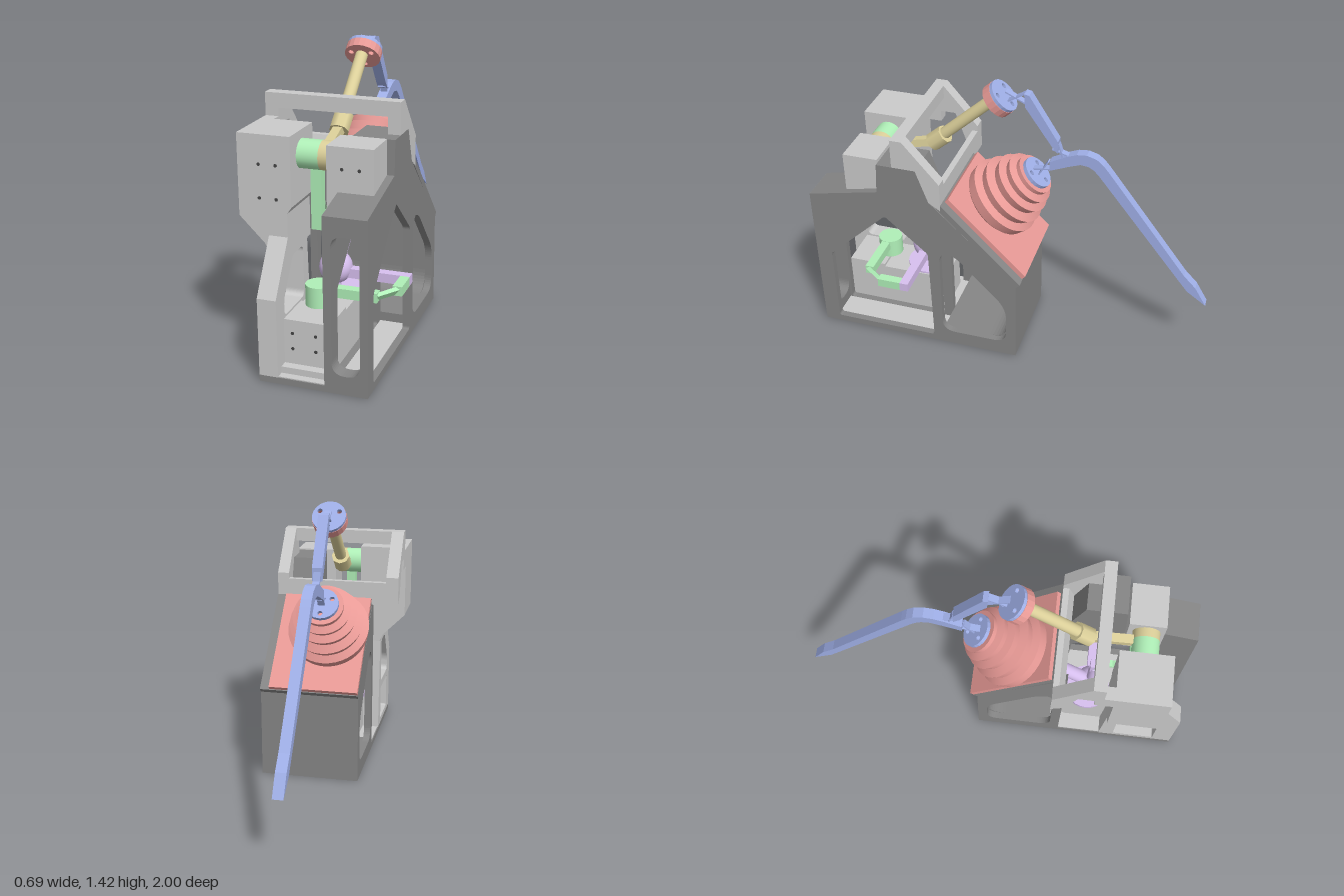
import * as THREE from 'three';

const V = (x, y, z) => new THREE.Vector3(x, y, z);
const mats = {};
for (const [k, c] of Object.entries({ grey: 0xcccccc, dark: 0x868686, hole: 0x444444, red: 0xe89a96, blue: 0xa0b0e8,
  green: 0xb0f0b8, purple: 0xd8c0f0, sand: 0xdcd09a }))
  mats[k] = new THREE.MeshStandardMaterial({ color: c, side: THREE.DoubleSide });
const CX = -0.025; // plane of the moving arms

// Polygon, optionally with rounded corners
function trace(path, pts, r = 0) {
  const P = pts.map(p => new THREE.Vector2(...p)), n = P.length;
  P.forEach((p, i) => {
    const toward = q => p.clone().add(q.clone().sub(p).setLength(r || 1e-9));
    const a = r ? toward(P[(i + n - 1) % n]) : p, b = r ? toward(P[(i + 1) % n]) : p;
    if (i) path.lineTo(a.x, a.y); else path.moveTo(a.x, a.y);
    if (r) path.quadraticCurveTo(p.x, p.y, b.x, b.y);
  });
  path.closePath();
  return path;
}
const extrude = (shape, depth) => new THREE.ExtrudeGeometry(shape, { depth, bevelEnabled: false, curveSegments: 10 });

export function createModel() {
  const model = new THREE.Group();
  const add = (name, geo, mat, parent = model) => {
    const m = new THREE.Mesh(geo, mats[mat]);
    m.name = name;
    parent.add(m);
    return m;
  };
  // Box from its limits
  const box = (name, mat, x0, x1, y0, y1, z0, z1) =>
    add(name, new THREE.BoxGeometry(x1 - x0, y1 - y0, z1 - z0), mat).position.set((x0 + x1) / 2, (y0 + y1) / 2, (z0 + z1) / 2);
  // Side profile of (z, y) points extruded from x0 to x1
  const side = (name, mat, x0, x1, pts, holes = []) => {
    const s = trace(new THREE.Shape(), pts);
    for (const [h, r] of holes) s.holes.push(trace(new THREE.Path(), h, r));
    return add(name, extrude(s, x1 - x0).rotateY(-Math.PI / 2).translate(x1, 0, 0), mat);
  };
  const between = (m, p, q) => {
    m.position.copy(p).lerp(q, 0.5);
    m.quaternion.setFromUnitVectors(V(0, 1, 0), q.clone().sub(p).normalize());
    return m;
  };
  const rod = (name, mat, p, q, r, n = 28) =>
    between(add(name, new THREE.CylinderGeometry(r, r, p.distanceTo(q), n), mat), p, q);
  const bar = (name, mat, p, q, w, t) =>
    between(add(name, new THREE.BoxGeometry(w, p.distanceTo(q), t), mat), p, q);
  // Crossed thin strips forming a flexible hinge in the side plane
  const hinge = (name, mat, p, q, w) => {
    const d = q.clone().sub(p).normalize(), o = V(0, d.z, -d.y).multiplyScalar(w);
    for (const s of [1, -1])
      bar(name, mat, p.clone().addScaledVector(o, s), q.clone().addScaledVector(o, -s), 0.035, 0.007);
  };
  // Round plate with three bolt holes, axis along y
  const flange = (name, mat, r, y0, h, parent) => {
    const s = new THREE.Shape().absarc(0, 0, r, 0, Math.PI * 2);
    for (const a of [90, 210, 330]) {
      const t = a * Math.PI / 180;
      s.holes.push(new THREE.Path().absarc(Math.cos(t) * r * 0.66, Math.sin(t) * r * 0.66, r * 0.15, 0, Math.PI * 2));
    }
    add(name, extrude(s, h).rotateX(-Math.PI / 2).translate(0, y0, 0), mat, parent);
  };

  // Housing: floor, side plates with openings, rounded rear trough
  box('floor', 'dark', -0.21, 0.30, 0, 0.03, -0.08, 1.0);
  box('floorTop', 'grey', -0.205, 0.295, 0.03, 0.034, -0.03, 0.995);
  const rearHole = [[[0.32, 0.08], [-0.03, 0.08], [-0.03, 0.31], [0.25, 0.60], [0.32, 0.60]], 0.07];
  const frontHole = [[[0.92, 0.035], [0.37, 0.035], [0.38, 0.57], [0.60, 0.76], [0.92, 0.46]], 0.015];
  side('rightSidePlate', 'dark', 0.265, 0.30, [[1, 0.03], [1, 0.82], [0.63, 0.90], [0.62, 1.06], [0.42, 1.06], [0.36, 0.89],
    [-0.08, 0.47], [-0.08, 0.03]], [rearHole, frontHole]);
  side('rightInnerPlate', 'dark', 0.10, 0.135, [[1, 0.03], [1, 0.82], [0.63, 0.90], [0.32, 0.84], [0.32, 0.03]], [frontHole]);
  side('rightRoof', 'dark', 0.10, 0.265, [[1, 0.74], [1, 0.82], [0.63, 0.90], [0.62, 1.06], [0.42, 1.06], [0.36, 0.89], [0.36, 0.80],
    [0.60, 0.78], [0.92, 0.74]]);
  // Slotted front strip
  const strip = trace(new THREE.Shape(), [[0.10, 0.03], [0.30, 0.03], [0.30, 0.82], [0.10, 0.82]]);
  strip.holes.push(trace(new THREE.Path(), [[0.135, 0.09], [0.265, 0.09], [0.265, 0.735], [0.135, 0.735]], 0.06));
  add('slottedFrontStrip', extrude(strip, 0.07).translate(0, 0, 0.931), 'dark');
  side('leftRearPlate', 'dark', -0.21, -0.175, [[0.37, 0.03], [0.37, 0.89], [-0.08, 0.47], [-0.08, 0.03]], [rearHole]);
  const trough = new THREE.Shape().moveTo(-0.08, 0.03).lineTo(0.32, 0.03).lineTo(0.32, 0.08).lineTo(0.07, 0.08);
  trough.quadraticCurveTo(-0.03, 0.08, -0.03, 0.18).lineTo(-0.03, 0.50).lineTo(-0.08, 0.47);
  add('rearTrough', extrude(trough, 0.44).rotateY(-Math.PI / 2).translate(0.265, 0, 0), 'dark');

  // Left front wall and the flared motor housing above it
  side('leftFrontWall', 'grey', -0.21, -0.12, [[0.60, 0.03], [1, 0.03], [1, 0.40], [0.85, 0.64], [0.85, 0.70], [0.59, 0.70], [0.63, 0.55]],
    [[[[0.91, 0.29], [0.91, 0.37], [0.80, 0.54], [0.68, 0.54], [0.68, 0.29]], 0.03],
      [[[0.90, 0.06], [0.90, 0.25], [0.68, 0.25], [0.68, 0.06]], 0.01]]);
  const flare = trace(new THREE.Shape(), [[-0.21, 0.56], [-0.12, 0.56], [-0.12, 0.75], [-0.10, 0.78], [-0.10, 1.10],
    [-0.35, 1.10], [-0.35, 0.72], [-0.23, 0.60]]);
  add('leftMotorHousing', extrude(flare, 0.26).translate(0, 0, 0.59), 'grey');
  box('rightMotorHousing', 'grey', 0.05, 0.265, 0.77, 1.065, 0.63, 0.81);
  box('frontLowerMotor', 'grey', -0.12, 0.10, 0.065, 0.28, 0.72, 0.92);
  side('lowerMotorBlock', 'grey', -0.12, 0.10, [[0.96, 0.03], [0.96, 0.065], [0.74, 0.07], [0.72, 0.265], [0.37, 0.265], [0.37, 0.06], [0.40, 0.03]]);

  // Handle frame
  const arm = [[0.54, 1.06], [0.54, 1.21], [0.48, 1.21], [0.30, 1.0], [0.30, 0.85], [0.36, 0.89], [0.42, 1.06]];
  side('handleArmRight', 'grey', 0.24, 0.30, arm);
  side('handleArmLeft', 'grey', -0.35, -0.285, arm);
  box('handleArmBrace', 'grey', -0.35, -0.285, 1.0, 1.10, 0.50, 0.60);
  box('handleBar', 'grey', -0.35, 0.30, 1.14, 1.21, 0.48, 0.54);
  side('rearCrossBar', 'grey', -0.35, 0.30, [[0.30, 0.85], [0.30, 0.97], [0.33, 0.97], [0.36, 0.89]]);

  // Screw recesses on the front faces
  for (const [x, y, z] of [[-0.25, 0.965, 0.85], [-0.17, 0.965, 0.85], [-0.25, 0.81, 0.85], [-0.17, 0.81, 0.85], [0.12, 0.965, 0.81],
    [0.20, 0.965, 0.81], [-0.08, 0.215, 0.92], [0.03, 0.215, 0.92], [-0.08, 0.14, 0.92], [0.03, 0.14, 0.92]])
    rod('screwRecess', 'hole', V(x, y, z - 0.01), V(x, y, z + 0.001), 0.008, 12);

  // Ball joint, post, main shaft and side lever
  rod('jointBase', 'purple', V(CX, 0.255, 0.50), V(CX, 0.275, 0.50), 0.12);
  rod('jointNeck', 'purple', V(CX, 0.27, 0.51), V(CX, 0.34, 0.51), 0.025);
  add('ballJoint', new THREE.SphereGeometry(0.08, 32, 20), 'purple').position.set(CX, 0.38, 0.51);
  rod('jointPost', 'purple', V(CX, 0.44, 0.51), V(CX, 0.62, 0.51), 0.027);
  bar('postTop', 'purple', V(CX, 0.59, 0.51), V(CX, 0.66, 0.51), 0.045, 0.045);
  rod('mainShaft', 'purple', V(CX, 0.38, 0.51), V(CX, 0.93, -0.08), 0.036);
  box('sideLever', 'purple', 0.03, 0.345, 0.337, 0.383, 0.485, 0.53);

  // Lower drive: motor horn, crank and link
  rod('lowerHorn', 'green', V(CX, 0.285, 0.73), V(CX, 0.385, 0.73), 0.063);
  box('lowerCrank', 'green', 0.02, 0.26, 0.337, 0.383, 0.71, 0.755);
  bar('lowerLink', 'green', V(0.25, 0.36, 0.74), V(0.32, 0.36, 0.64), 0.02, 0.035);
  box('linkEnd', 'green', 0.30, 0.345, 0.337, 0.383, 0.53, 0.65);

  // Upper drive: horn, hanging crank and link to the post
  rod('upperHorn', 'green', V(-0.10, 0.993, 0.72), V(0.0, 0.993, 0.72), 0.067);
  box('upperCrank', 'green', -0.05, 0.0, 0.65, 0.95, 0.70, 0.745);
  bar('upperLink', 'green', V(CX, 0.685, 0.71), V(CX, 0.685, 0.63), 0.045, 0.025);
  hinge('upperLinkHinge', 'green', V(CX, 0.685, 0.64), V(CX, 0.685, 0.55), 0.015);
  box('postClevis', 'green', -0.05, 0.0, 0.62, 0.70, 0.51, 0.56);

  // Upper push rod
  rod('rodHorn', 'sand', V(0, 0.993, 0.72), V(0.045, 0.993, 0.72), 0.067);
  bar('rodLink', 'sand', V(0.0, 0.99, 0.71), V(CX, 1.04, 0.44), 0.045, 0.04);
  rod('rodCollar', 'sand', V(CX, 1.03, 0.45), V(CX, 1.09, 0.38), 0.048, 8);
  rod('pushRod', 'sand', V(CX, 1.07, 0.41), V(CX, 1.33, 0.12), 0.03);
  const head = new THREE.Group();
  head.name = 'pushRodHead';
  head.position.set(CX, 1.315, 0.115);
  head.rotation.x = -0.835;
  model.add(head);
  flange('headFlange', 'red', 0.088, 0, 0.045, head);
  flange('headCap', 'blue', 0.086, 0.045, 0.018, head);

  // Sloped cover and bellows; local y points out of the slope
  const slope = new THREE.Group();
  slope.name = 'slopedCover';
  slope.position.set(CX, 0.73, 0.12);
  slope.rotation.x = -Math.PI / 4;
  model.add(slope);
  const cover = (name, mat, x0, x1, a, b, y, h) => {
    const s = trace(new THREE.Shape(), [[x0, a], [x1, a], [x1, b], [x0, b]]);
    s.holes.push(new THREE.Path().absarc(0, 0, 0.175, 0, Math.PI * 2));
    add(name, extrude(s, h).rotateX(-Math.PI / 2).translate(0, y, 0), mat, slope);
  };
  cover('coverFrame', 'dark', -0.185, 0.325, -0.24, 0.335, -0.05, 0.03);
  cover('coverPlate', 'red', -0.185, 0.275, -0.225, 0.33, -0.02, 0.025);
  const folds = [[0.18, 0], [0.20, 0.02], [0.21, 0.075], [0.175, 0.095], [0.19, 0.14], [0.15, 0.16], [0.165, 0.205],
    [0.128, 0.22], [0.14, 0.255], [0.105, 0.27], [0.108, 0.295], [0, 0.295]];
  // separate bands keep the folds sharp
  for (let i = 0; i + 1 < folds.length; i++)
    add('bellowsFold', new THREE.LatheGeometry([folds[i], folds[i + 1]].map(p => new THREE.Vector2(...p)), 40), 'red', slope);
  flange('bellowsCap', 'blue', 0.085, 0.296, 0.02, slope);

  // Linked blue arms
  const flat = (name, pts) => side(name, 'blue', CX - 0.026, CX + 0.026, pts);
  hinge('headHinge', 'blue', V(CX, 1.355, 0.06), V(CX, 1.36, -0.04), 0.027);
  flat('connectingArm', [[-0.035, 1.39], [-0.06, 1.385], [-0.205, 1.155], [-0.205, 1.09], [-0.175, 1.125], [-0.04, 1.32]]);
  hinge('armHinge', 'blue', V(CX, 1.12, -0.19), V(CX, 1.06, -0.25), 0.022);
  hinge('bellowsHinge', 'blue', V(CX, 0.955, -0.09), V(CX, 1.01, -0.17), 0.022);
  flat('longLever', [[-0.165, 1.035], [-0.25, 1.08], [-0.30, 1.10], [-0.35, 1.105], [-0.40, 1.09], [-0.435, 1.06], [-0.46, 1.03],
    [-0.877, 0.485], [-0.94, 0.42], [-1, 0.32], [-0.90, 0.39], [-0.856, 0.444], [-0.417, 0.996], [-0.39, 1.025],
    [-0.36, 1.043], [-0.32, 1.047], [-0.26, 1.025], [-0.165, 0.985]]);
  return model;
}
